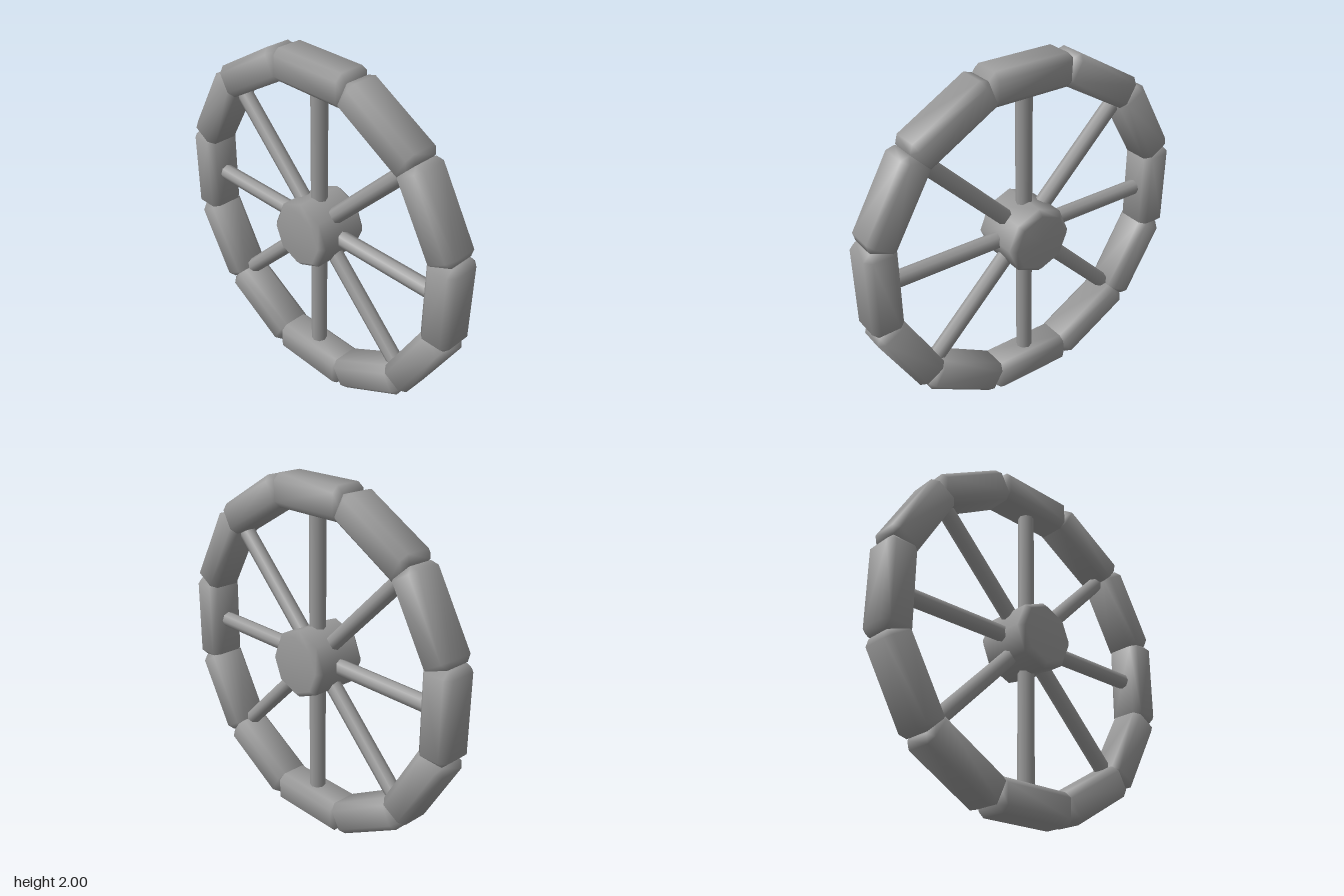
import * as THREE from 'three';
import { ConvexGeometry } from 'three/addons/geometries/ConvexGeometry.js';

// Box with one chamfer on every edge and softly shaded normals
function chamferedBox(w, h, d, bevel) {
  const half = [w / 2, h / 2, d / 2];
  const points = [];
  for (let axis = 0; axis < 3; axis++) {
    for (const sx of [-1, 1]) for (const sy of [-1, 1]) for (const sz of [-1, 1]) {
      const p = [sx, sy, sz].map((s, i) => s * (half[i] - (i === axis ? 0 : bevel)));
      points.push(new THREE.Vector3(...p));
    }
  }
  const geometry = new ConvexGeometry(points);
  const pos = geometry.attributes.position;
  const normal = new THREE.Vector3();
  for (let i = 0; i < pos.count; i++) {
    const p = [pos.getX(i), pos.getY(i), pos.getZ(i)];
    normal.fromArray(p.map((v, k) =>
      Math.sign(v) * (Math.abs(v) > half[k] - bevel / 2 ? 0.87 : 0.35))).normalize();
    geometry.attributes.normal.setXYZ(i, normal.x, normal.y, normal.z);
  }
  return geometry;
}

export function createModel() {
  const grey = new THREE.MeshStandardMaterial({ color: 0x999999 });
  grey.name = 'grey';

  const wheel = new THREE.Group();
  wheel.name = 'wheel';
  wheel.position.y = 1;

  // Rim of twelve overlapping chamfered blocks
  const rim = new THREE.Group();
  rim.name = 'rim';
  const blockGeometry = chamferedBox(0.51, 0.183, 0.214, 0.035);
  for (let i = 0; i < 12; i++) {
    const a = (i / 12) * Math.PI * 2;
    const block = new THREE.Mesh(blockGeometry, grey);
    block.name = 'rimBlock';
    block.position.set(-Math.sin(a) * 0.9085, Math.cos(a) * 0.9085, 0);
    block.rotation.z = a;
    rim.add(block);
  }
  wheel.add(rim);

  // Eight spokes running from the hub into the rim
  const spokes = new THREE.Group();
  spokes.name = 'spokes';
  const spokeGeometry = new THREE.CylinderGeometry(0.046, 0.046, 0.76, 8);
  spokeGeometry.translate(0, 0.48, 0);
  for (let i = 0; i < 8; i++) {
    const spoke = new THREE.Mesh(spokeGeometry, grey);
    spoke.name = 'spoke';
    spoke.rotation.z = (i / 8) * Math.PI * 2;
    spokes.add(spoke);
  }
  wheel.add(spokes);

  // Eight-sided hub with chamfered faces
  const profile = [[0, -0.17], [0.165, -0.17], [0.197, -0.138],
    [0.197, 0.138], [0.165, 0.17], [0, 0.17]].map(([r, y]) => new THREE.Vector2(r, y));
  const hub = new THREE.Mesh(new THREE.LatheGeometry(profile, 8), grey);
  hub.name = 'hub';
  hub.rotation.x = Math.PI / 2;
  wheel.add(hub);

  const model = new THREE.Group();
  model.name = 'spokedWheel';
  model.add(wheel);
  return model;
}
